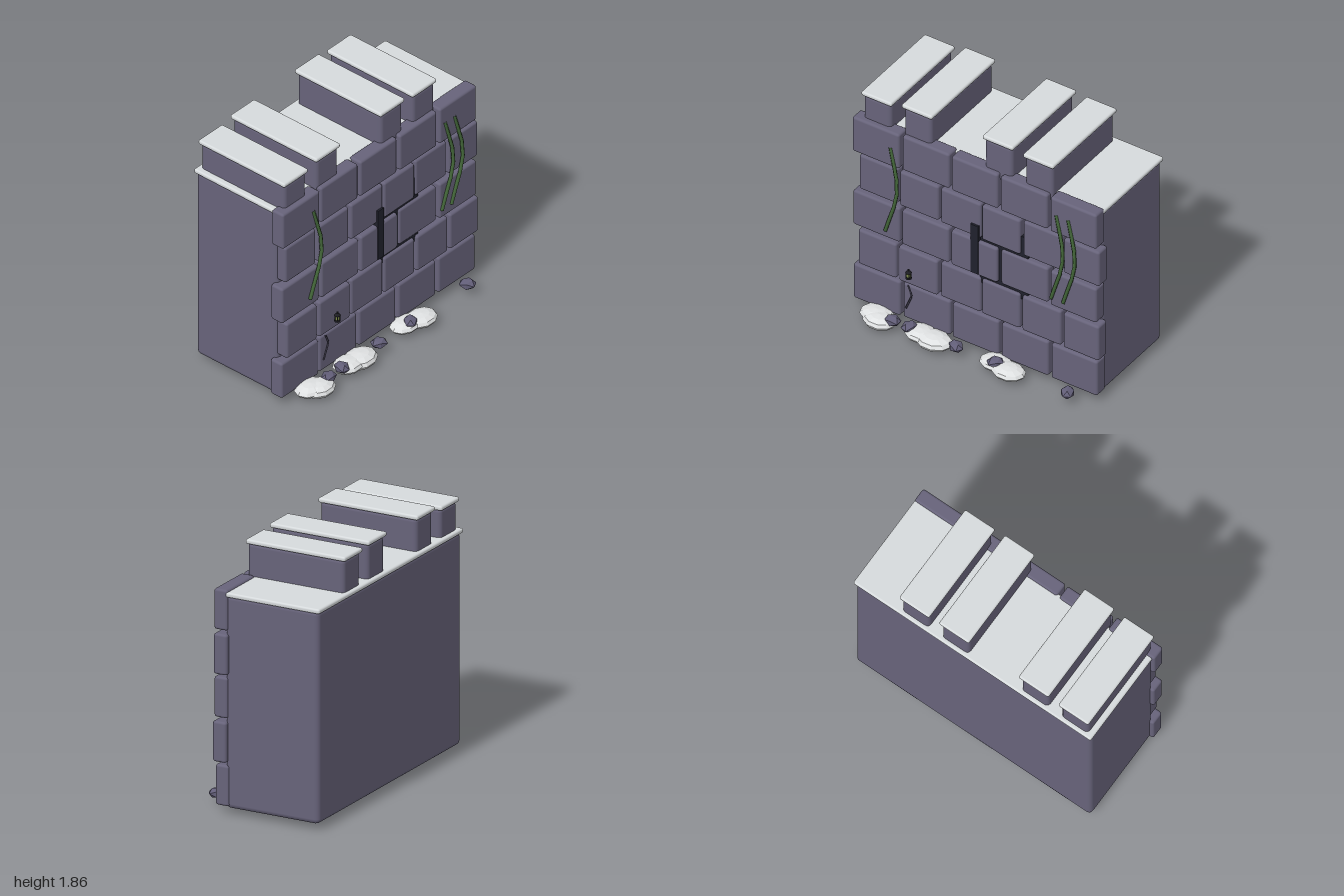
import * as THREE from 'three';
import { RoundedBoxGeometry } from 'three/addons/geometries/RoundedBoxGeometry.js';

const mat = (name, color, flatShading = false) => {
  const m = new THREE.MeshStandardMaterial({ color, flatShading });
  m.name = name;
  return m;
};

export function createModel() {
  const root = new THREE.Group();
  root.name = 'castleWall';
  const stone = mat('stone', 0x67637a);
  const rubbleStone = mat('rubbleStone', 0x625e78, true);
  const snow = mat('snow', 0xd6dadc);
  const snowFacet = mat('snowFacet', 0xdfe1e2, true);
  const dark = mat('darkOpening', 0x20212c);
  const vineGreen = mat('vineGreen', 0x44683a);
  const crackGrey = mat('crackGrey', 0x454254);
  const iron = mat('iron', 0x1d1d22);
  const glow = mat('lanternGlass', 0x7c8a4a);

  const add = (name, geo, material, parent = root) => {
    const mesh = new THREE.Mesh(geo, material);
    mesh.name = name;
    parent.add(mesh);
    return mesh;
  };
  // Rounded block given by its minimum and maximum on each axis
  const block = (name, [x0, x1], [y0, y1], [z0, z1], r, material, parent) => {
    const geo = r > 0
      ? new RoundedBoxGeometry(x1 - x0, y1 - y0, z1 - z0, 2, r)
      : new THREE.BoxGeometry(x1 - x0, y1 - y0, z1 - z0);
    const mesh = add(name, geo, material, parent);
    mesh.position.set((x0 + x1) / 2, (y0 + y1) / 2, (z0 + z1) / 2);
    return mesh;
  };
  const group = (name) => {
    const g = new THREE.Group();
    g.name = name;
    root.add(g);
    return g;
  };

  // Wall core and its snowy top slab
  block('wallCore', [-0.97, 0.97], [0.05, 1.57], [-0.49, 0.235], 0.035, stone);
  block('topSlab', [-0.98, 0.98], [1.555, 1.59], [-0.503, 0.23], 0.014, snow);

  // Battlements: left edge and top height of each
  const battlements = group('battlements');
  for (const [x, top] of [[-0.95, 1.82], [-0.622, 1.85], [0.035, 1.867], [0.363, 1.85]]) {
    block('battlement', [x + 0.012, x + 0.235], [1.53, top - 0.025], [-0.475, 0.275], 0.03, stone, battlements);
    block('battlementCap', [x, x + 0.247], [top - 0.034, top], [-0.49, 0.285], 0.014, snow, battlements);
  }

  // Face blocks in staggered courses
  const courses = group('faceBlocks');
  const wide = [[-1, -0.62], [-0.6, -0.22], [-0.2, 0.175], [0.2, 0.58], [0.605, 0.98]];
  const narrow = [[-0.955, -0.645], [-0.625, -0.31], [-0.29, 0.035], [0.045, 0.355], [0.375, 0.69], [0.71, 1]];
  const fronts = [0.305, 0.317, 0.316, 0.31, 0.317];
  fronts.forEach((front, row) => {
    const y = 0.065 + row * 0.3125;
    (row % 2 ? narrow : wide).forEach((span, i, all) => {
      const z = front - (i === all.length - 1 ? 0 : ((i * 3 + row) % 4) * 0.003);
      block('faceBlock', span, [y, y + 0.29], [z - 0.105, z], 0.018, stone, courses);
    });
  });

  // Dark opening behind the blocks and the narrow slit
  const opening = group('opening');
  block('slit', [-0.035, 0.025], [0.705, 1.11], [0.22, 0.322], 0, dark, opening);
  block('recess', [0.02, 0.41], [0.62, 1.012], [0.23, 0.29], 0, dark, opening);
  block('recessTop', [0.345, 0.38], [1.0, 1.15], [0.23, 0.29], 0, dark, opening);

  // Hanging vines
  const vines = group('vines');
  for (const x of [-0.69, 0.655, 0.752]) {
    const curve = new THREE.CatmullRomCurve3([
      [0, 1.475, 0.313], [0.068, 1.14, 0.335], [-0.035, 0.76, 0.322],
    ].map(([dx, y, z]) => new THREE.Vector3(x + dx, y, z)));
    add('vine', new THREE.TubeGeometry(curve, 6, 0.014, 5), vineGreen, vines);
  }

  // Thin crack in the lowest course
  const crack = new THREE.CurvePath();
  const crackPoints = [[-0.555, 0.36], [-0.522, 0.28], [-0.57, 0.16]].map(([x, y]) => new THREE.Vector3(x, y, 0.305));
  for (let i = 0; i < 2; i++) crack.add(new THREE.LineCurve3(crackPoints[i], crackPoints[i + 1]));
  add('crack', new THREE.TubeGeometry(crack, 8, 0.007, 4), crackGrey);

  // Small lantern
  const lantern = group('lantern');
  lantern.position.set(-0.505, 0.48, 0.37);
  [
    ['lanternBase', 0.021, 0.023, 0.012, 0.006, iron],
    ['lanternGlass', 0.014, 0.014, 0.036, 0.03, glow],
    ['lanternRoof', 0.007, 0.024, 0.018, 0.056, iron],
    ['lanternKnob', 0.006, 0.006, 0.012, 0.069, iron],
  ].forEach(([name, rTop, rBottom, h, y, m]) => {
    add(name, new THREE.CylinderGeometry(rTop, rBottom, h, 8), m, lantern).position.y = y;
  });
  for (let i = 0; i < 4; i++) {
    const a = (i + 0.5) * Math.PI / 2;
    add('lanternPost', new THREE.BoxGeometry(0.005, 0.036, 0.005), iron, lantern)
      .position.set(Math.cos(a) * 0.016, 0.03, Math.sin(a) * 0.016);
  }

  // Snow drifts at the foot: x, y, z, half width, half height, half depth
  const drifts = group('snowDrifts');
  for (const [x, y, z, w, h, d] of [
    [-0.77, 0.062, 0.36, 0.125, 0.042, 0.1], [-0.72, 0.055, 0.4, 0.125, 0.048, 0.1],
    [-0.4, 0.062, 0.375, 0.12, 0.042, 0.1], [-0.29, 0.055, 0.385, 0.14, 0.05, 0.108],
    [0.2, 0.06, 0.36, 0.125, 0.04, 0.095], [0.325, 0.06, 0.395, 0.125, 0.042, 0.1],
  ]) {
    const drift = add('snowDrift', new THREE.SphereGeometry(1, 10, 6), snowFacet, drifts);
    drift.position.set(x, y, z);
    drift.scale.set(w, h, d);
  }

  // Fallen stones
  const rubble = group('rubble');
  [[-0.62, 0.088], [-0.485, 0.092], [-0.105, 0.088], [0.215, 0.09], [0.8, 0.082]].forEach(([x, y], i) => {
    const rock = add('rubbleStone', new THREE.IcosahedronGeometry(1, 0), rubbleStone, rubble);
    rock.position.set(x, y, 0.392);
    rock.scale.set(0.064, 0.04, 0.052);
    rock.rotation.y = i * 1.3;
  });

  return root;
}
